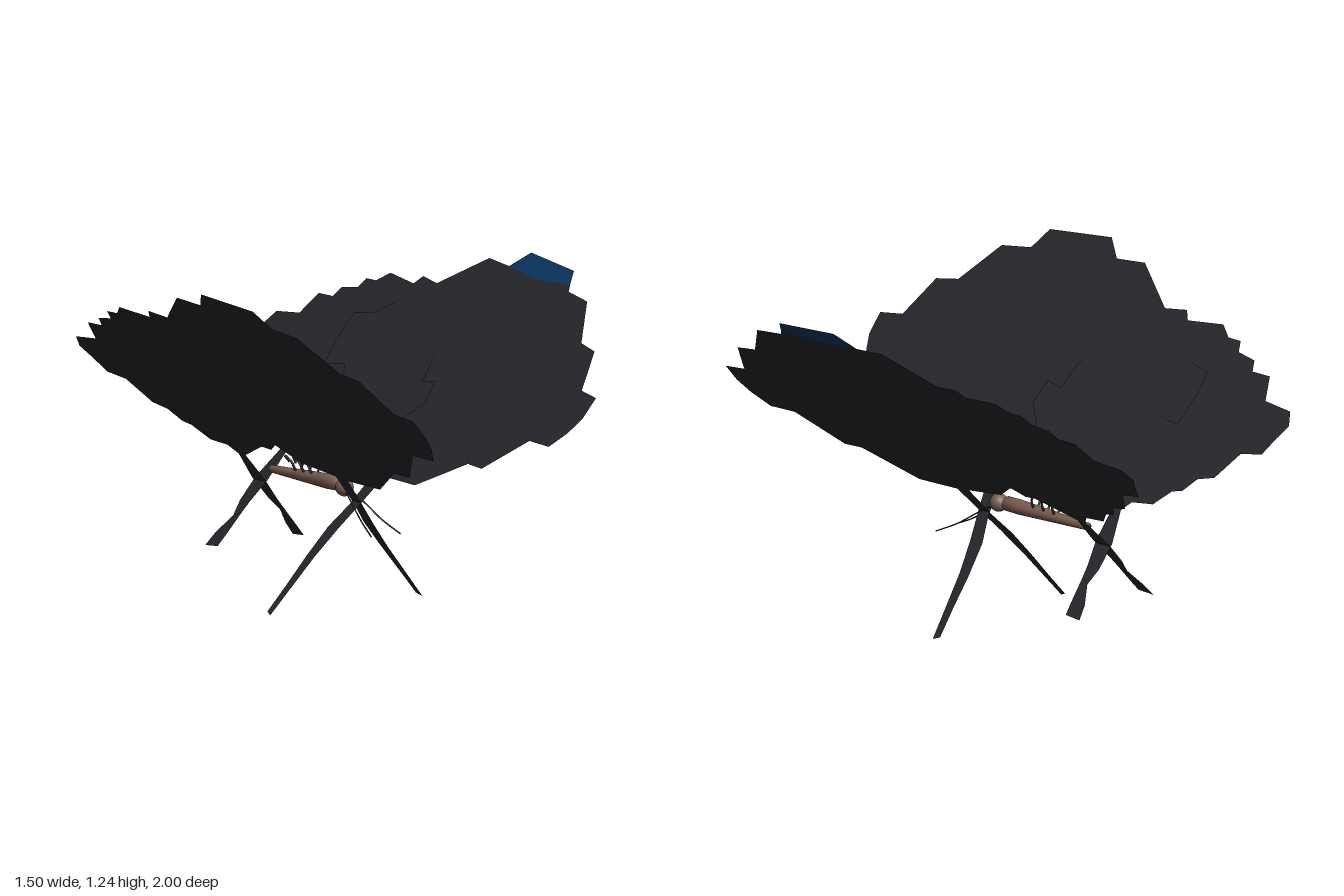
import * as THREE from 'three';

const mat = (name, color, side = THREE.FrontSide) => {
  const m = new THREE.MeshStandardMaterial({ color, side });
  m.name = name;
  return m;
};

// Outlines are [z, y] pairs; x follows from the slope of the wing sheet.
const tip = [[0.48, 1.168], [0.453, 1.212], [0.169, 1.239], [0.10, 1.185], [0.3, 1.162]];

const foreWing = [
  [1.0, 0.783], [1.0, 0.85], [0.90, 0.863], [0.834, 0.987], [0.737, 1.003], [0.625, 1.13],
  [0.496, 1.147], [0.48, 1.168], [0.3, 1.162], [0.10, 1.185], [-0.03, 1.196], [-0.217, 1.088],
  // rear edge overlapping the hind wing
  [-0.45, 0.96], [-0.54, 0.95], [-0.55, 0.90], [-0.53, 0.78], [-0.42, 0.79], [-0.28, 0.64],
  [-0.164, 0.579], [-0.072, 0.52], [0.105, 0.493],
  // ribbon tail
  [0.083, 0.38], [0.048, 0.3], [0.035, 0.2], [0.03, 0.1], [0.022, 0.01], [0.05, 0.0],
  [0.065, 0.1], [0.08, 0.2], [0.107, 0.3], [0.139, 0.39],
  [0.169, 0.483], [0.357, 0.477], [0.56, 0.574], [0.646, 0.568], [0.80, 0.681], [0.92, 0.676],
  [0.973, 0.729],
];

const hindWing = [
  [-0.217, 1.088], [-0.314, 1.10], [-0.34, 1.072], [-0.50, 1.088], [-0.55, 1.056], [-0.609, 1.056],
  [-0.625, 1.024], [-0.71, 1.013], [-0.726, 0.981], [-0.81, 0.981], [-0.845, 0.91], [-0.973, 0.90],
  [-1.0, 0.858], [-0.973, 0.815], [-0.946, 0.761], [-0.855, 0.745], [-0.796, 0.66], [-0.727, 0.643],
  [-0.689, 0.60], [-0.646, 0.59], [-0.593, 0.54], [-0.50, 0.53], [-0.47, 0.5],
  // ribbon tail
  [-0.507, 0.4], [-0.507, 0.32], [-0.49, 0.27], [-0.525, 0.21], [-0.535, 0.165], [-0.465, 0.17],
  [-0.46, 0.21], [-0.455, 0.28], [-0.45, 0.32], [-0.43, 0.4], [-0.43, 0.5],
  [-0.373, 0.52], [-0.27, 0.557], [-0.217, 0.552], [-0.164, 0.579],
  // front edge overlapping the fore wing
  [-0.03, 0.62], [0.07, 0.665], [0.14, 0.73], [0.12, 0.80], [0.05, 0.79], [0.03, 0.87],
];

// Flat sheet laid on the wing slope, tilted slightly along z so the two wings cross
function sheet(outline, side, tilt) {
  const geo = new THREE.ShapeGeometry(new THREE.Shape(outline.map(p => new THREE.Vector2(p[0], p[1]))));
  const pos = geo.attributes.position;
  for (let i = 0; i < pos.count; i++) {
    const z = pos.getX(i), y = pos.getY(i);
    const x = (y - 0.395) / 1.13 - tilt * (z + 0.2);
    pos.setXYZ(i, side * x, y, z);
  }
  geo.computeVertexNormals();
  return geo;
}

export function createModel() {
  const model = new THREE.Group();
  const wingBlack = mat('wingBlack', 0x25272b, THREE.DoubleSide);
  const tipBlue = mat('tipBlue', 0x0b3763, THREE.DoubleSide);
  const bodyBrown = mat('bodyBrown', 0x7a5c4e);
  const legBrown = mat('legBrown', 0x3c2e27);

  const add = (name, geo, material, parent = model) => {
    const mesh = new THREE.Mesh(geo, material);
    mesh.name = name;
    parent.add(mesh);
    return mesh;
  };
  const tube = (points, radius) => new THREE.TubeGeometry(
    new THREE.CatmullRomCurve3(points.map(p => new THREE.Vector3(...p))), 12, radius, 6);

  // Wings, each pair of sheets running on past the body as ribbon tails
  for (const side of [1, -1]) {
    const wing = new THREE.Group();
    wing.name = side > 0 ? 'leftWing' : 'rightWing';
    add('foreWing', sheet(foreWing, side, -0.012), wingBlack, wing);
    add('hindWing', sheet(hindWing, side, 0.012), wingBlack, wing);
    add('wingTip', sheet(tip, side, -0.012), side > 0 ? tipBlue : wingBlack, wing);
    model.add(wing);
  }

  // Body tapering to the back, and a round head
  const profile = [[0, -0.4], [0.014, -0.4], [0.018, -0.3], [0.023, -0.18], [0.028, -0.06], [0.027, 0.0], [0, 0.015]];
  const body = new THREE.LatheGeometry(profile.map(p => new THREE.Vector2(...p)), 20);
  body.rotateX(Math.PI / 2);
  add('body', body, bodyBrown).position.y = 0.444;
  add('head', new THREE.SphereGeometry(0.034, 20, 14), bodyBrown).position.set(-0.005, 0.437, 0.045);

  // Folded legs on the back and drooping antennae
  for (const s of [1, -1]) {
    [-0.14, -0.19, -0.24].forEach((z, i) => {
      add('leg', tube([
        [s * 0.012, 0.46, z], [s * 0.028, 0.495, z - 0.005],
        [s * 0.036, 0.53 - i * 0.008, z - 0.035], [s * 0.02, 0.49, z - 0.05 + i * 0.012],
      ], 0.0045), legBrown);
    });
    add('antenna', tube([
      [s * 0.012, 0.425, 0.06], [s * 0.03, 0.382, 0.13], [s * 0.045, 0.335, 0.2], [s * 0.066, 0.29, 0.29],
    ], 0.0028), legBrown);
  }
  return model;
}
